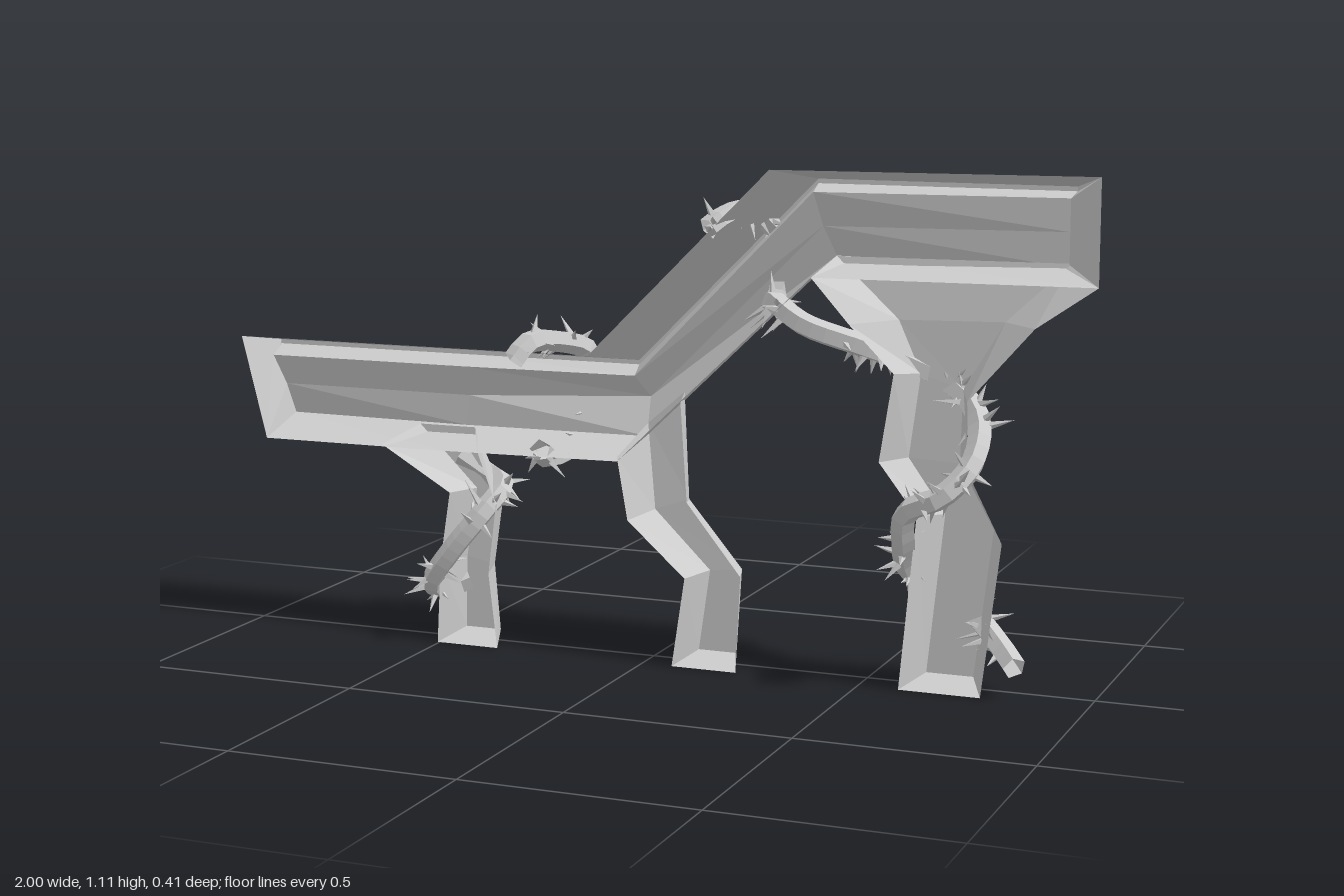
import * as THREE from 'three';
import { mergeGeometries } from 'three/addons/utils/BufferGeometryUtils.js';

const material = new THREE.MeshStandardMaterial({ color: 0xcccccc, flatShading: true, side: THREE.DoubleSide });

// Small seeded generator for the thorns
function seeded(seed) {
  return () => {
    seed = (seed * 16807) % 2147483647;
    return seed / 2147483647;
  };
}

function addMesh(parent, name, geometry) {
  const mesh = new THREE.Mesh(geometry, material);
  mesh.name = name;
  parent.add(mesh);
}

// Skin between open cross-sections; the chosen ends are closed with a fan
function shell(sections, capStart, capEnd) {
  const position = [];
  const tri = (a, b, c) => position.push(...a, ...b, ...c);
  for (let s = 0; s < sections.length - 1; s++) {
    const a = sections[s], b = sections[s + 1];
    for (let i = 0; i < a.length - 1; i++) {
      tri(a[i], b[i], b[i + 1]);
      tri(a[i], b[i + 1], a[i + 1]);
    }
  }
  const fan = (p) => {
    for (let i = 1; i < p.length - 1; i++) tri(p[0], p[i], p[i + 1]);
  };
  if (capStart) fan([...sections[0]].reverse());
  if (capEnd) fan(sections[sections.length - 1]);
  const geometry = new THREE.BufferGeometry();
  geometry.setAttribute('position', new THREE.Float32BufferAttribute(position, 3));
  geometry.computeVertexNormals();
  return geometry;
}

// Half-tube leg, open at the front plane.
// Rows: left x, left y, right x, right y, back z, then where the two back edges lie across the width
function leg(rows) {
  const sections = rows.map(([x0, y0, x1, y1, z, t0 = 0.2, t1 = 0.78], i) => {
    // The back edges rise into the ledge at the top and off the ground at the foot
    const lift = i === 0 ? 0.035 : i === rows.length - 1 ? 0.02 : 0;
    const at = (t, depth, rise) => [x0 + (x1 - x0) * t, y0 + (y1 - y0) * t + rise, depth];
    return [at(0, 0.07, 0), at(t0, z, lift), at(t1, z, lift), at(1, 0.07, 0)];
  });
  return shell(sections, false, true);
}

// Creeper with clumps of thorns scattered around its stem
function vine(points, seed) {
  const random = seeded(seed);
  const curve = new THREE.CatmullRomCurve3(points.map((p) => new THREE.Vector3(...p)));
  const length = curve.getLength();
  const parts = [new THREE.TubeGeometry(curve, points.length * 3, 0.026, 5, false)];
  const up = new THREE.Vector3(0, 1, 0);
  const count = Math.round(length / 0.011);
  for (let i = 0; i < count; i++) {
    const t = (i + random()) / count;
    // Bare stem between the clumps
    if (Math.sin(t * length * 24 + seed) < -0.35) continue;
    const tangent = curve.getTangentAt(t);
    const out = new THREE.Vector3(random() - 0.5, random() - 0.5, random() - 0.5)
      .cross(tangent).normalize()
      .addScaledVector(tangent, (random() - 0.5) * 1.6).normalize();
    const size = 0.035 + random() * 0.035;
    const thorn = new THREE.ConeGeometry(0.01, size, 4);
    thorn.translate(0, size / 2 + 0.012, 0);
    thorn.applyQuaternion(new THREE.Quaternion().setFromUnitVectors(up, out));
    const base = curve.getPointAt(t);
    thorn.translate(base.x, base.y, base.z);
    parts.push(thorn);
  }
  return mergeGeometries(parts);
}

export function createModel() {
  const model = new THREE.Group();
  model.name = 'thornyLedge';

  // Stepped ledge: each section runs from the front top edge, over the back lip, to the front bottom edge
  const ledge = [
    [[-1, 0.68, 0.07], [-1, 0.65, -0.11], [-1, 0.64, -0.11], [-0.99, 0.62, -0.055], [-0.97, 0.55, -0.08], [-0.955, 0.48, -0.095], [-0.94, 0.445, 0.07]],
    [[-0.49, 0.68, 0.07], [-0.49, 0.65, -0.11], [-0.49, 0.64, -0.11], [-0.49, 0.62, -0.055], [-0.49, 0.55, -0.08], [-0.5, 0.48, -0.08], [-0.49, 0.445, 0.07]],
    [[-0.13, 0.68, 0.07], [-0.08, 0.65, -0.11], [-0.08, 0.64, -0.11], [-0.075, 0.62, -0.07], [-0.05, 0.57, -0.105], [-0.045, 0.485, -0.07], [-0.06, 0.45, 0.07]],
    [[0.29, 1.1, 0.07], [0.34, 1.07, -0.11], [0.34, 1.06, -0.11], [0.345, 1.045, -0.06], [0.36, 0.97, -0.085], [0.385, 0.905, -0.105], [0.385, 0.875, 0.07]],
    [[1, 1.105, 0.07], [0.91, 1.07, -0.11], [0.91, 1.06, -0.11], [0.91, 1.05, -0.05], [0.91, 0.98, -0.05], [0.91, 0.905, -0.05], [1, 0.88, 0.07]],
  ];
  addMesh(model, 'ledge', shell(ledge, true, true));

  // Crooked legs
  const legs = {
    lowLeg: [
      [-0.64, 0.45, -0.4, 0.45, -0.03],
      [-0.47, 0.35, -0.355, 0.33, -0.025],
      [-0.495, 0.19, -0.375, 0.17, -0.02],
      [-0.505, 0, -0.355, 0, -0.02],
    ],
    middleLeg: [
      [-0.06, 0.46, 0.09, 0.59, -0.04],
      [-0.035, 0.32, 0.105, 0.37, -0.025],
      [0.1, 0.2, 0.23, 0.215, -0.02],
      [0.07, 0, 0.22, 0, -0.02],
    ],
    highLeg: [
      [0.385, 0.875, 1, 0.88, -0.05, 0.03, 0.86],
      [0.47, 0.78, 0.87, 0.79, -0.03],
      [0.57, 0.68, 0.73, 0.63, -0.025],
      [0.54, 0.49, 0.735, 0.48, -0.02],
      [0.625, 0.38, 0.81, 0.335, -0.02],
      [0.59, 0, 0.77, 0, -0.02],
    ],
  };
  for (const [name, rows] of Object.entries(legs)) addMesh(model, name, leg(rows));

  // Thorny creepers
  addMesh(model, 'ledgeVine', vine([
    [-0.31, 0.66, 0.06], [-0.29, 0.695, 0.03], [-0.26, 0.69, -0.07], [-0.22, 0.66, -0.14],
    [-0.21, 0.56, -0.145], [-0.22, 0.47, -0.1], [-0.25, 0.435, 0], [-0.25, 0.46, 0.06],
  ], 17));
  addMesh(model, 'slopeVine', vine([
    [0.15, 0.97, 0.06], [0.17, 0.99, 0.03], [0.2, 1, -0.07], [0.24, 0.95, -0.115],
    [0.25, 0.87, -0.125], [0.25, 0.8, -0.09], [0.28, 0.81, 0], [0.36, 0.77, 0.04],
    [0.48, 0.73, 0.02], [0.57, 0.69, -0.035], [0.67, 0.64, -0.045], [0.74, 0.58, 0.01],
    [0.75, 0.5, 0.1], [0.7, 0.44, 0.145], [0.62, 0.4, 0.13], [0.6, 0.33, 0.08],
    [0.59, 0.25, 0], [0.63, 0.2, -0.04], [0.72, 0.15, -0.045], [0.79, 0.1, 0], [0.84, 0.07, 0.06],
  ], 53));
  addMesh(model, 'lowLegVine', vine([
    [-0.49, 0.42, -0.035], [-0.43, 0.38, -0.045], [-0.37, 0.36, 0], [-0.39, 0.31, 0.06],
    [-0.46, 0.22, 0.08], [-0.52, 0.14, 0.06], [-0.52, 0.11, 0], [-0.47, 0.13, -0.03],
  ], 91));
  return model;
}
